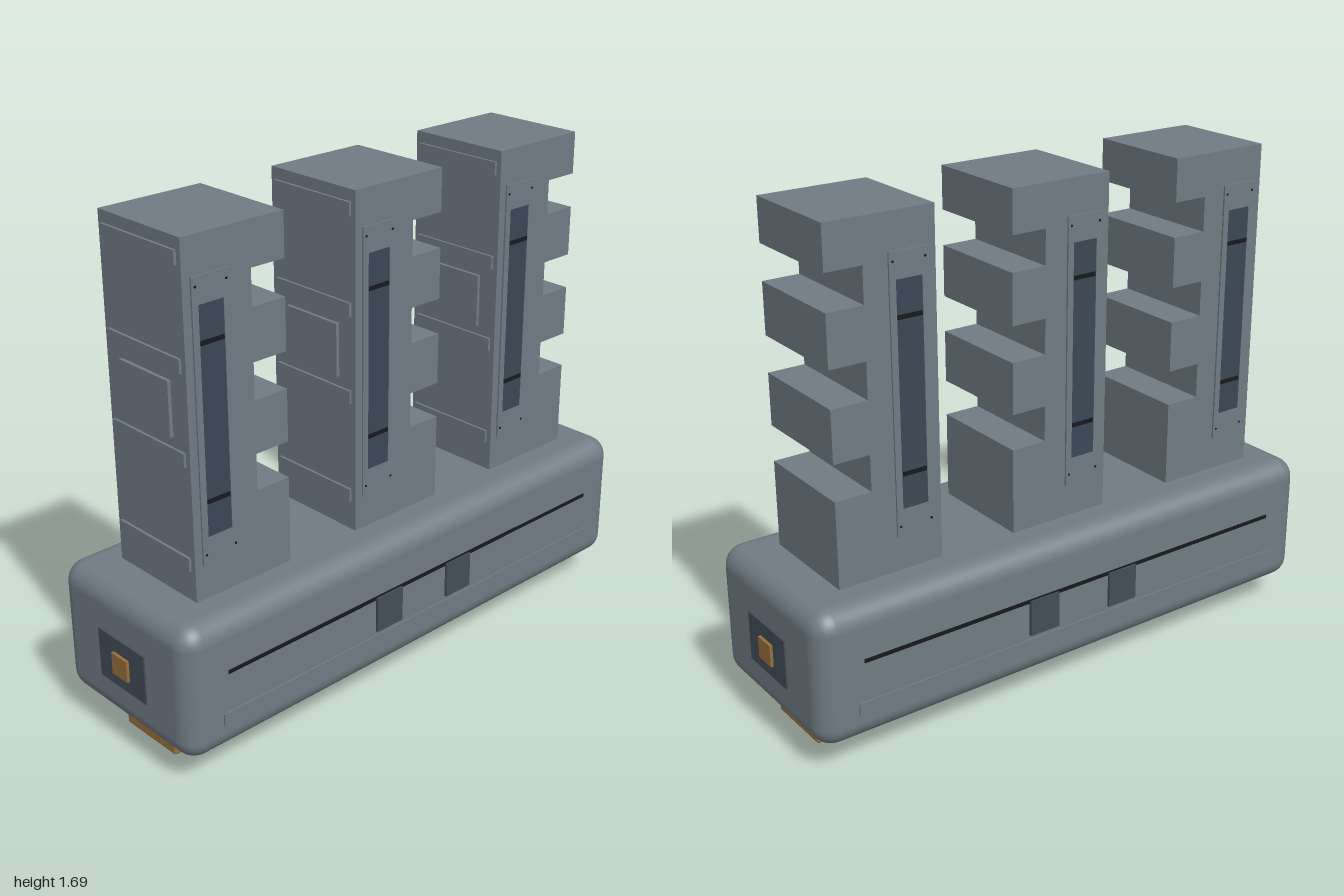
import * as THREE from 'three';
import { RoundedBoxGeometry } from 'three/addons/geometries/RoundedBoxGeometry.js';

const mat = (name, color) => {
  const m = new THREE.MeshStandardMaterial({ color });
  m.name = name;
  return m;
};

export function createModel() {
  const steel = mat('steel grey', 0x707b84);
  const slate = mat('dark slate', 0x434d58);
  const glass = mat('blue glass', 0x3a4755);
  const black = mat('black', 0x16191d);
  const bronze = mat('bronze', 0x96703c);

  const model = new THREE.Group();
  model.name = 'threeTowerBlock';

  const add = (parent, name, geometry, material, x = 0, y = 0, z = 0) => {
    const mesh = new THREE.Mesh(geometry, material);
    mesh.name = name;
    mesh.position.set(x, y, z);
    parent.add(mesh);
    return mesh;
  };
  // Box given by its limits on each axis
  const box = (parent, name, material, [x0, x1], [y0, y1], [z0, z1], r = 0) => {
    const size = [x1 - x0, y1 - y0, z1 - z0];
    const geo = r ? new RoundedBoxGeometry(...size, 2, r) : new THREE.BoxGeometry(...size);
    return add(parent, name, geo, material, (x0 + x1) / 2, (y0 + y1) / 2, (z0 + z1) / 2);
  };

  // Rounded base
  add(model, 'base', new RoundedBoxGeometry(1.97, 0.46, 0.64, 5, 0.07), steel, 0, 0.325, 0);

  // Slot, sliders and lower strip on both long sides of the base
  for (const side of [1, -1]) {
    const depth = (a, b) => (side > 0 ? [a, b] : [-b, -a]);
    box(model, 'slot', black, [-0.83, 0.83], [0.367, 0.38], depth(0.315, 0.3225));
    box(model, 'lowerStrip', steel, [-0.855, 0.855], [0.195, 0.235], depth(0.31, 0.325));
    for (const x of [-0.163, 0.16]) {
      box(model, 'slider', slate, [x - 0.057, x + 0.057], [0.25, 0.375], depth(0.31, 0.329));
    }
  }

  // End plates, end buttons, feet and underside pads
  for (const s of [1, -1]) {
    const span = (a, b) => (s > 0 ? [a, b] : [-b, -a]);
    box(model, 'endPlate', slate, span(0.97, 0.99), [0.23, 0.4], [-0.115, 0.115]);
    box(model, 'endButton', bronze, span(0.97, 1), [0.275, 0.35], [-0.038, 0.038]);
    box(model, 'foot', bronze, span(0.777, 0.9), [0, 0.12], [-0.125, 0.125], 0.01);
    box(model, 'undersidePad', steel, span(0.025, 0.347), [0.005, 0.12], [-0.15, 0.15], 0.005);
  }

  // Tower profile with three notches cut into its +x edge
  const notches = [[0.845, 0.965], [1.138, 1.258], [1.428, 1.545]];
  const profile = new THREE.Shape();
  profile.moveTo(-0.185, 0.5);
  profile.lineTo(0.185, 0.5);
  for (const [low, high] of notches) {
    profile.lineTo(0.185, low);
    profile.lineTo(0.06, low);
    profile.lineTo(0.06, high);
    profile.lineTo(0.185, high);
  }
  profile.lineTo(0.185, 1.688);
  profile.lineTo(-0.185, 1.688);
  profile.closePath();
  const towerGeo = new THREE.ExtrudeGeometry(profile, { depth: 0.376, bevelEnabled: false });
  towerGeo.translate(0, 0, -0.188);

  // Frame plate with an opening for the window
  const frame = new THREE.Shape();
  frame.moveTo(-0.157, 0.67);
  frame.lineTo(-0.023, 0.67);
  frame.lineTo(-0.023, 1.57);
  frame.lineTo(-0.157, 1.57);
  frame.closePath();
  const opening = new THREE.Path();
  opening.moveTo(-0.135, 0.76);
  opening.lineTo(-0.135, 1.485);
  opening.lineTo(-0.045, 1.485);
  opening.lineTo(-0.045, 0.76);
  opening.closePath();
  frame.holes.push(opening);
  const frameGeo = new THREE.ExtrudeGeometry(frame, { depth: 0.006, bevelEnabled: false });
  frameGeo.translate(0, 0, -0.003);
  const screwGeo = new THREE.CylinderGeometry(0.004, 0.004, 0.003, 8).rotateX(Math.PI / 2);

  for (const x of [-0.65, 0, 0.645]) {
    const tower = new THREE.Group();
    tower.name = 'tower';
    tower.position.x = x;
    model.add(tower);
    add(tower, 'towerBody', towerGeo, steel);

    // Framed window on front and back
    for (const s of [1, -1]) {
      add(tower, 'windowFrame', frameGeo, steel, 0, 0, s * 0.191);
      add(tower, 'window', new THREE.BoxGeometry(0.09, 0.725, 0.004), glass, -0.09, 1.1225, s * 0.19);
      for (const y of [0.875, 1.37]) {
        add(tower, 'windowBar', new THREE.BoxGeometry(0.084, 0.014, 0.006), black, -0.09, y, s * 0.192);
      }
      for (const sx of [-0.145, -0.035]) {
        for (const y of [0.705, 1.54]) add(tower, 'screw', screwGeo, black, sx, y, s * 0.1945);
      }
    }

    // Raised ribs and access panel on the -x face
    for (const y of [0.678, 1.02, 1.31, 1.628]) {
      box(tower, 'rib', steel, [-0.194, -0.18], [y - 0.022, y + 0.022], [-0.17, 0.17]);
    }
    box(tower, 'accessPanel', steel, [-0.197, -0.18], [1.075, 1.252], [-0.115, 0.115]);
  }

  return model;
}
